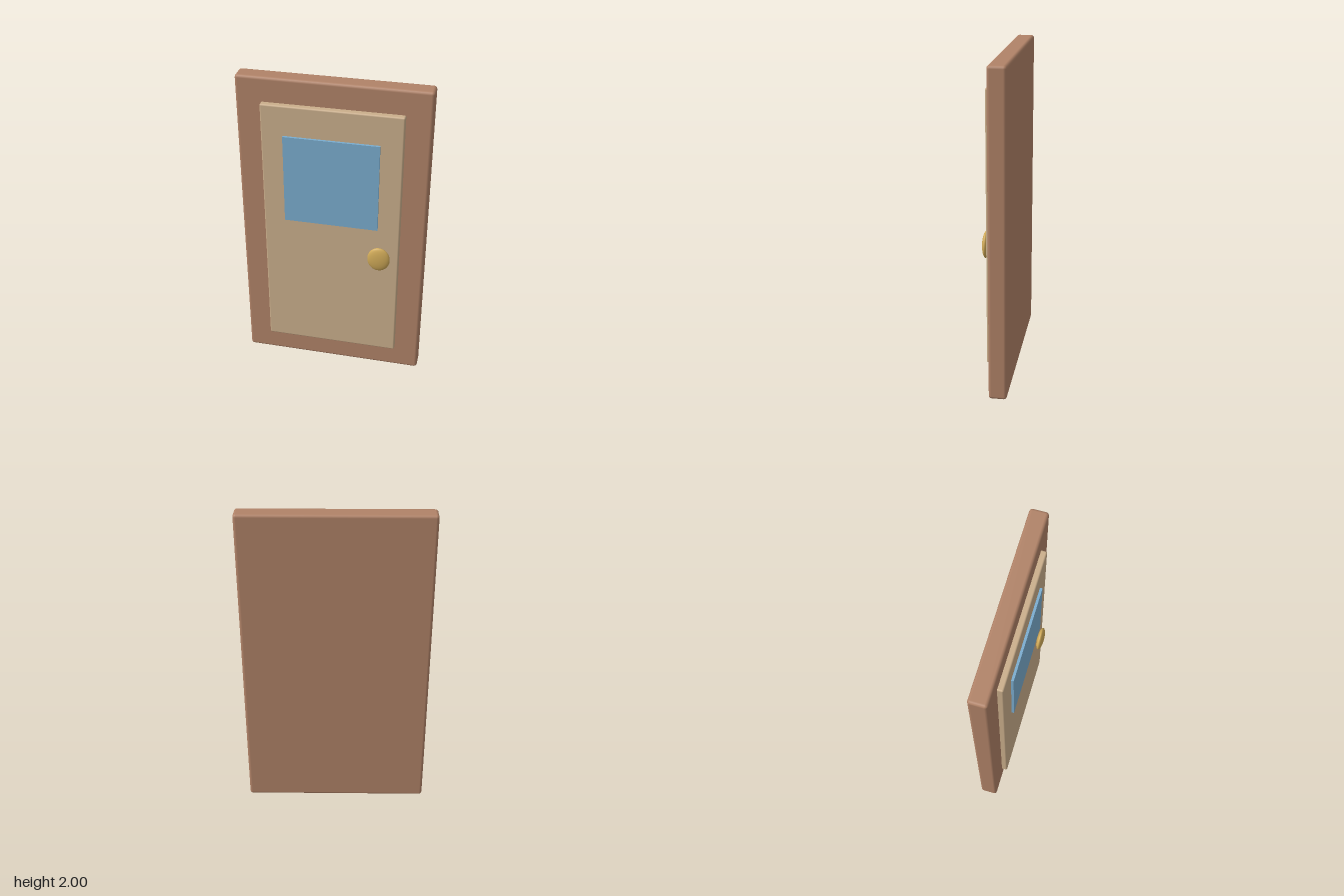
import * as THREE from 'three';
import { RoundedBoxGeometry } from 'three/addons/geometries/RoundedBoxGeometry.js';

const material = (name, color) => {
  const m = new THREE.MeshStandardMaterial({ color });
  m.name = name;
  return m;
};

export function createModel() {
  const group = new THREE.Group();
  group.name = 'door';

  const add = (name, geometry, mat, x, y, z) => {
    const mesh = new THREE.Mesh(geometry, mat);
    mesh.name = name;
    mesh.position.set(x, y, z);
    group.add(mesh);
    return mesh;
  };

  // Outer slab with softened edges
  add('doorFrame', new RoundedBoxGeometry(1.15, 2, 0.11, 2, 0.018),
    material('brown wood', 0xb08267), 0, 1, -0.04);

  // Raised panel, sunk slightly into the slab
  add('doorPanel', new RoundedBoxGeometry(0.845, 1.69, 0.06, 2, 0.01),
    material('tan wood', 0xcaae8b), 0, 1.003, 0.02);

  // Window pane standing just proud of the panel
  add('windowPane', new THREE.BoxGeometry(0.576, 0.57, 0.02),
    material('blue glass', 0x7aacce), 0, 1.375, 0.055);

  // Flattened oval knob
  const knob = new THREE.SphereGeometry(1, 32, 24);
  knob.scale(0.07, 0.082, 0.022);
  add('doorKnob', knob, material('brass', 0xd0aa58), 0.302, 0.885, 0.07);

  return group;
}
